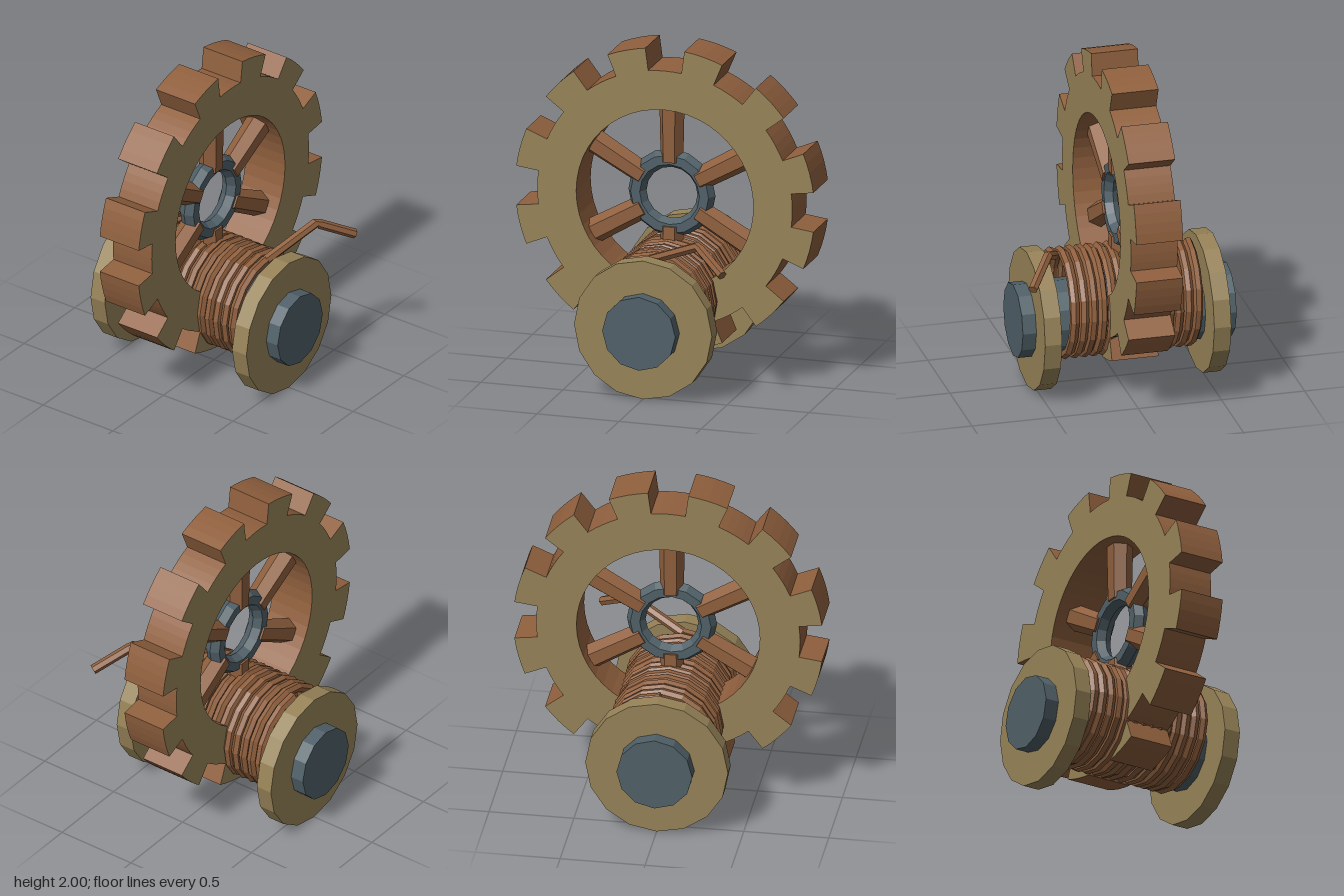
import * as THREE from 'three';

const mat = (color) => new THREE.MeshStandardMaterial({ color, flatShading: true });

export function createModel() {
  const model = new THREE.Group();
  const brass = mat(0x978358);
  const copper = mat(0x90603e);
  const steel = mat(0x506068);

  const add = (parent, name, geometry, material, x = 0, y = 0, z = 0) => {
    const mesh = new THREE.Mesh(geometry, material);
    mesh.name = name;
    mesh.position.set(x, y, z);
    parent.add(mesh);
    return mesh;
  };

  // Toothed wheel, standing upright
  const wheel = new THREE.Group();
  wheel.name = 'wheel';
  wheel.position.set(0, 1.095, -0.022);
  model.add(wheel);

  // Rim: 12 radial teeth, each as wide as the gap between them
  const teeth = 12, steps = 4, half = Math.PI / teeth, depth = 0.28;
  const outline = [];
  for (let i = 0; i < teeth * 2; i++) {
    const radius = i % 2 ? 0.913 : 0.777;
    for (let s = 0; s <= steps; s++) {
      const a = (i - 0.5 + s / steps) * half;
      outline.push(new THREE.Vector2(Math.cos(a) * radius, Math.sin(a) * radius));
    }
  }
  const rimShape = new THREE.Shape(outline);
  rimShape.holes.push(new THREE.Path().absarc(0, 0, 0.54, 0, Math.PI * 2, true));
  const rimGeometry = new THREE.ExtrudeGeometry(rimShape, { depth, bevelEnabled: false, curveSegments: 24 });
  add(wheel, 'toothedRim', rimGeometry, [brass, copper], 0, 0, -depth / 2);

  // Hub ring
  add(wheel, 'hubRing', new THREE.TorusGeometry(0.21, 0.055, 6, 16), steel);

  // Six hexagonal spokes with a flat side to the front, slimmer at the hub
  for (let i = 0; i < 6; i++) {
    const arm = new THREE.Group();
    arm.name = 'spokeArm';
    arm.rotation.z = (i * Math.PI) / 3;
    const geometry = new THREE.CylinderGeometry(0.077, 0.069, 0.365, 6).rotateY(Math.PI / 6);
    add(arm, 'spoke', geometry, copper, 0, 0.3775, 0);
    wheel.add(arm);
  }

  // Spool below the wheel
  const spool = new THREE.Group();
  spool.name = 'spool';
  spool.position.y = 0.42;
  model.add(spool);
  const disc = (name, radius, length, sides, material, z) =>
    add(spool, name, new THREE.CylinderGeometry(radius, radius, length, sides).rotateX(Math.PI / 2), material, 0, 0, z);
  disc('axle', 0.223, 1.285, 12, steel, -0.023);
  disc('frontFlange', 0.42, 0.102, 16, brass, 0.487);
  disc('backFlange', 0.42, 0.102, 16, brass, -0.53);

  // Wound wire, set a little above the axle's centre: a helix from back to front, then a bent tail
  const winding = new THREE.Group();
  winding.name = 'winding';
  winding.position.y = 0.5;
  model.add(winding);
  const turns = 14, perTurn = 16, radius = 0.303, thickness = 0.029;
  const points = [];
  for (let i = 0; i <= turns * perTurn; i++) {
    const a = (i / perTurn) * Math.PI * 2;
    points.push(new THREE.Vector3(Math.sin(a) * radius, Math.cos(a) * radius, -0.428 + (0.8 * i) / (turns * perTurn)));
  }
  const coil = new THREE.CatmullRomCurve3(points);
  add(winding, 'coil', new THREE.TubeGeometry(coil, turns * perTurn, thickness, 6), copper);

  const coilEnd = points[points.length - 1];
  const bend = new THREE.Vector3(0.322, 0.445, 0.498);
  const tip = new THREE.Vector3(0.515, 0.328, 0.638);
  const tail = new THREE.CurvePath();
  tail.add(new THREE.LineCurve3(coilEnd, bend));
  tail.add(new THREE.LineCurve3(bend, tip));
  add(winding, 'wireTail', new THREE.TubeGeometry(tail, 24, thickness, 6), copper);

  // Caps on the free wire ends
  const cap = (name, from, to) => {
    const mesh = add(winding, name, new THREE.CircleGeometry(thickness, 6), copper, to.x, to.y, to.z);
    mesh.quaternion.setFromUnitVectors(new THREE.Vector3(0, 0, 1), to.clone().sub(from).normalize());
  };
  cap('wireStartCap', points[1], points[0]);
  cap('wireEndCap', bend, tip);

  return model;
}
